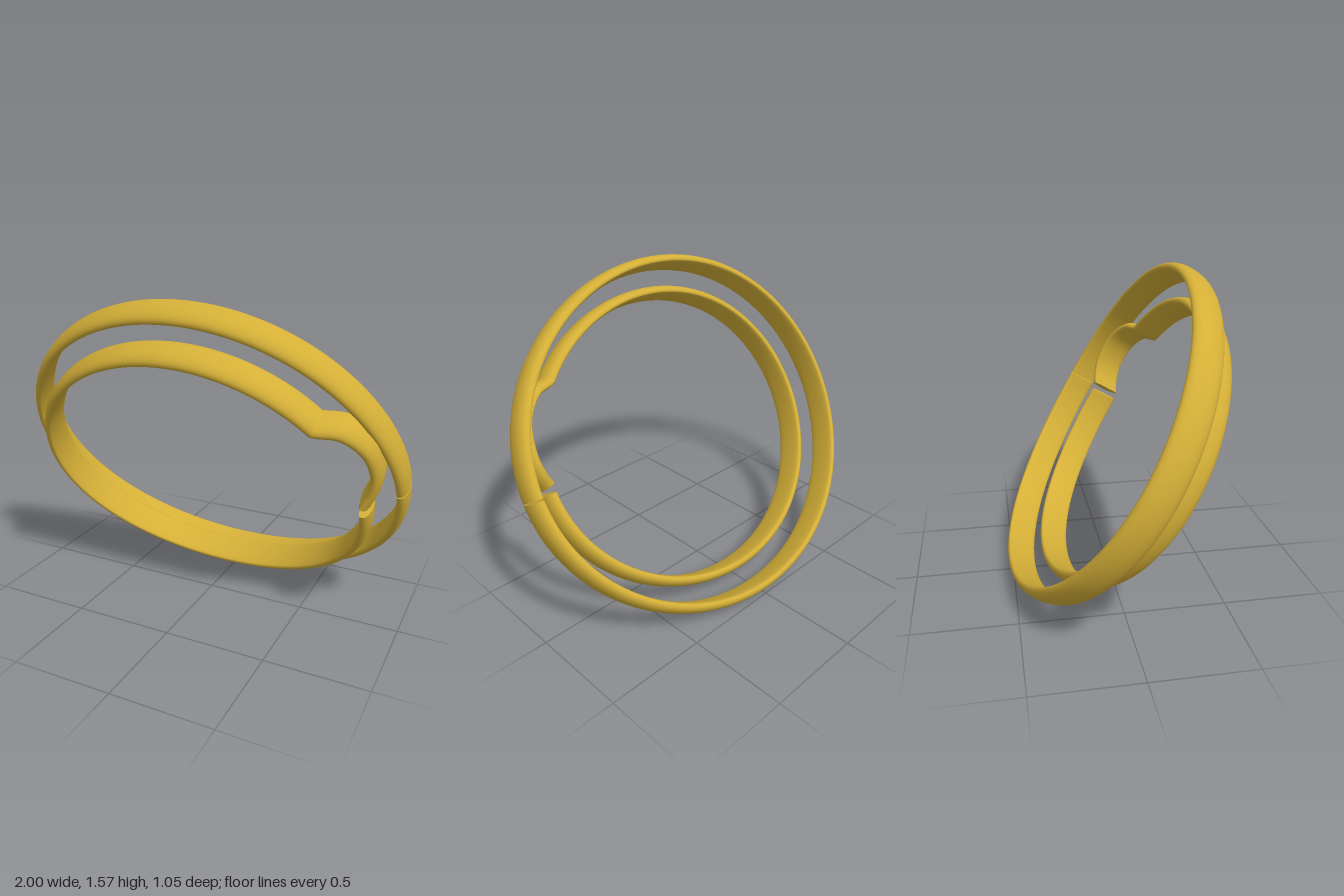
import * as THREE from 'three';

const HALF_WIDTH = 0.0775;
const BOW = 0.05;

// D-shaped band section: domed outside, flatter inside; x is radial, y runs across the band
function bandSection(n = 28) {
  return Array.from({ length: n }, (_, i) => {
    const t = (i / n) * Math.PI * 2;
    const c = Math.cos(t), s = Math.sin(t);
    const r = c >= 0 ? -0.01 + 0.0375 * c : -0.01 - 0.0175 * Math.sqrt(-c);
    return new THREE.Vector2(r, HALF_WIDTH * Math.sign(s) * Math.abs(s) ** 0.9);
  });
}

// Oval path whose sides bow forward out of its plane
function ovalPath(a, b, from, to, count) {
  return Array.from({ length: count + 1 }, (_, i) => {
    const t = from + ((to - from) * i) / count;
    return new THREE.Vector3(a * Math.cos(t), b * Math.sin(t), BOW * Math.cos(t) ** 2);
  });
}

// Sweep the section along an open path, with a flat cap at each end
function sweepBand(path) {
  const section = bandSection(), n = section.length, last = path.length - 1;
  const positions = [], index = [];
  path.forEach((p, i) => {
    const before = path[Math.max(i - 1, 0)], after = path[Math.min(i + 1, last)];
    const radial = new THREE.Vector2(after.y - before.y, before.x - after.x).normalize();
    for (const q of section) {
      positions.push(p.x + radial.x * q.x, p.y + radial.y * q.x, p.z + q.y);
    }
  });
  for (let i = 0; i < last; i++) {
    for (let j = 0; j < n; j++) {
      const k = (j + 1) % n;
      const a = i * n + j, b = i * n + k, c = b + n, d = a + n;
      index.push(a, d, c, a, c, b);
    }
  }
  for (const end of [0, last]) {
    const base = positions.length / 3;
    positions.push(...positions.slice(end * n * 3, (end + 1) * n * 3));
    for (let j = 1; j < n - 1; j++) {
      if (end === 0) index.push(base, base + j, base + j + 1);
      else index.push(base, base + j + 1, base + j);
    }
  }
  const geometry = new THREE.BufferGeometry();
  geometry.setAttribute('position', new THREE.Float32BufferAttribute(positions, 3));
  geometry.setIndex(index);
  geometry.computeVertexNormals();
  return geometry;
}

export function createModel() {
  const gold = new THREE.MeshStandardMaterial({ color: 0xd4af37 });
  gold.name = 'gold';

  const model = new THREE.Group();
  model.name = 'bangles';
  const tilted = new THREE.Group();
  tilted.name = 'tiltedRings';
  tilted.rotation.x = Math.PI / 6;
  tilted.position.set(0, 0.79, -0.03);
  model.add(tilted);

  // Large ring with a fine seam on its left side
  const outer = new THREE.Mesh(
    sweepBand(ovalPath(0.9725, 0.86, 0.004, Math.PI * 2 - 0.004, 160)), gold);
  outer.name = 'outerRing';
  tilted.add(outer);

  // Small ring: a bent stretch from the open seam up to a kink, then a regular oval
  const bend = new THREE.CatmullRomCurve3([
    [0.835, 0.025, 0.04], [0.868, 0.092, 0.012], [0.885, 0.185, -0.01],
    [0.855, 0.326, -0.015], [0.76, 0.433, 0.0], [0.65, 0.466, 0.03],
  ].map((p) => new THREE.Vector3(...p))).getPoints(40);
  const oval = ovalPath(0.8375, 0.74, 0.682, Math.PI * 2 - 0.012, 140);
  const inner = new THREE.Mesh(sweepBand([...bend.slice(0, -1), ...oval]), gold);
  inner.name = 'innerRing';
  inner.position.z = 0.135;
  tilted.add(inner);

  return model;
}
